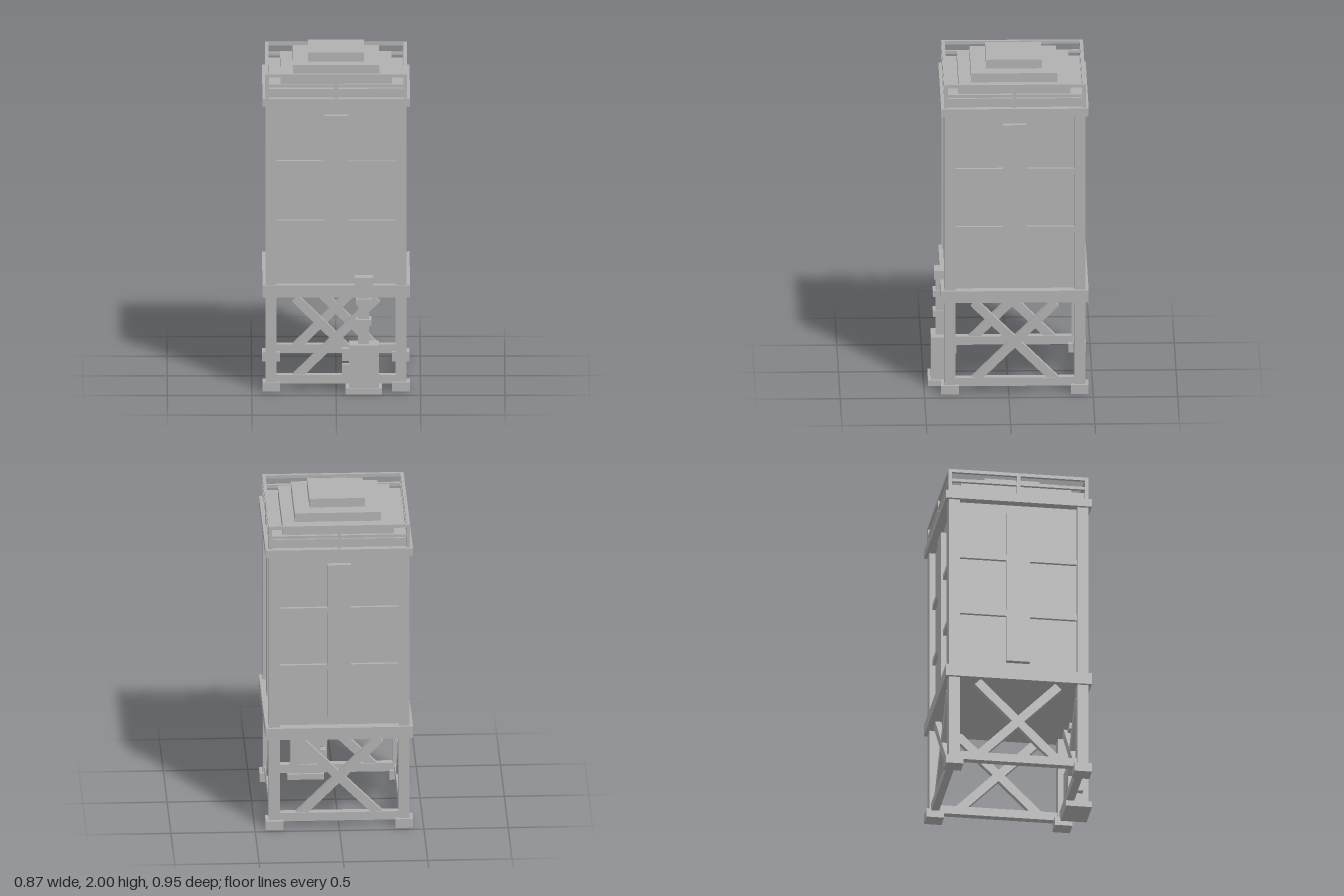
import * as THREE from 'three';

export function createModel() {
  const model = new THREE.Group();
  model.name = 'siloTower';
  const grey = new THREE.MeshStandardMaterial({ color: 0xb0b0b0 });
  grey.name = 'plain grey';

  // box given by its min and max along each axis
  const box = (parent, name, x0, x1, y0, y1, z0, z1) => {
    const m = new THREE.Mesh(new THREE.BoxGeometry(x1 - x0, y1 - y0, z1 - z0), grey);
    m.position.set((x0 + x1) / 2, (y0 + y1) / 2, (z0 + z1) / 2);
    m.name = name;
    parent.add(m);
    return m;
  };
  // square slab centred on the tower axis
  const slab = (name, half, y0, y1) => box(tower, name, -half, half, y0, y1, -half, half);

  const tower = new THREE.Group();
  tower.name = 'tower';
  tower.position.z = -0.037;
  model.add(tower);

  // tank body and its two rims
  slab('tank', 0.38, 0.6, 1.76);
  slab('lowerRim', 0.437, 0.572, 0.645);
  slab('upperRim', 0.437, 1.732, 1.782);

  // stepped roof
  [[0.398, 1.835], [0.33, 1.89], [0.256, 1.945], [0.165, 2]].forEach(([half, top], i) =>
    slab('roofStep' + (i + 1), half, 1.78 + i * 0.055, top));

  // corner columns, feet and railing posts
  for (const sx of [-1, 1]) for (const sz of [-1, 1]) {
    const corner = (name, a, b, y0, y1) => box(tower, name,
      Math.min(sx * a, sx * b), Math.max(sx * a, sx * b), y0, y1,
      Math.min(sz * a, sz * b), Math.max(sz * a, sz * b));
    corner('column', 0.352, 0.418, 0.02, 1.75);
    corner('foot', 0.332, 0.437, 0, 0.055);
    corner('railPost', 0.398, 0.42, 1.78, 1.928);
  }

  // the four sides repeat around the axis
  for (let i = 0; i < 4; i++) {
    const side = new THREE.Group();
    side.name = 'side' + (i + 1);
    side.rotation.y = i * Math.PI / 2;
    tower.add(side);

    box(side, 'panel', -0.07, 0.07, 0.703, 1.673, 0.37, 0.413);
    for (const y of [1.0, 1.363]) box(side, 'band', -0.352, 0.352, y, y + 0.034, 0.37, 0.4);

    // frame below the tank
    box(side, 'lowerBeam', -0.352, 0.352, 0.043, 0.095, 0.362, 0.408);
    for (const s of [-1, 1]) {
      const brace = box(side, 'brace', -0.342, 0.342, 0.29, 0.342, 0.367, 0.403);
      brace.rotation.z = s * Math.PI / 4;
    }

    // railing
    box(side, 'topRail', -0.42, 0.42, 1.908, 1.928, 0.4, 0.42);
    box(side, 'midRail', -0.42, 0.42, 1.848, 1.866, 0.4, 0.42);
    box(side, 'middlePost', -0.01, 0.01, 1.78, 1.928, 0.4, 0.42);
  }

  // pump with its riser pipe at the front
  const pump = new THREE.Group();
  pump.name = 'pump';
  model.add(pump);
  box(pump, 'pumpBase', 0.055, 0.272, 0, 0.035, 0.32, 0.475);
  box(pump, 'pumpHousing', 0.075, 0.253, 0.035, 0.295, 0.335, 0.457);
  box(pump, 'riserPipe', 0.13, 0.196, 0.29, 0.65, 0.362, 0.428);
  for (const y of [0.41, 0.535]) box(pump, 'pipeCollar', 0.117, 0.209, y, y + 0.037, 0.35, 0.445);
  box(pump, 'pipeHead', 0.109, 0.217, 0.645, 0.7, 0.353, 0.437);
  for (const y of [0.095, 0.19]) box(pump, 'valve', 0.036, 0.08, y, y + 0.073, 0.37, 0.42);

  return model;
}
